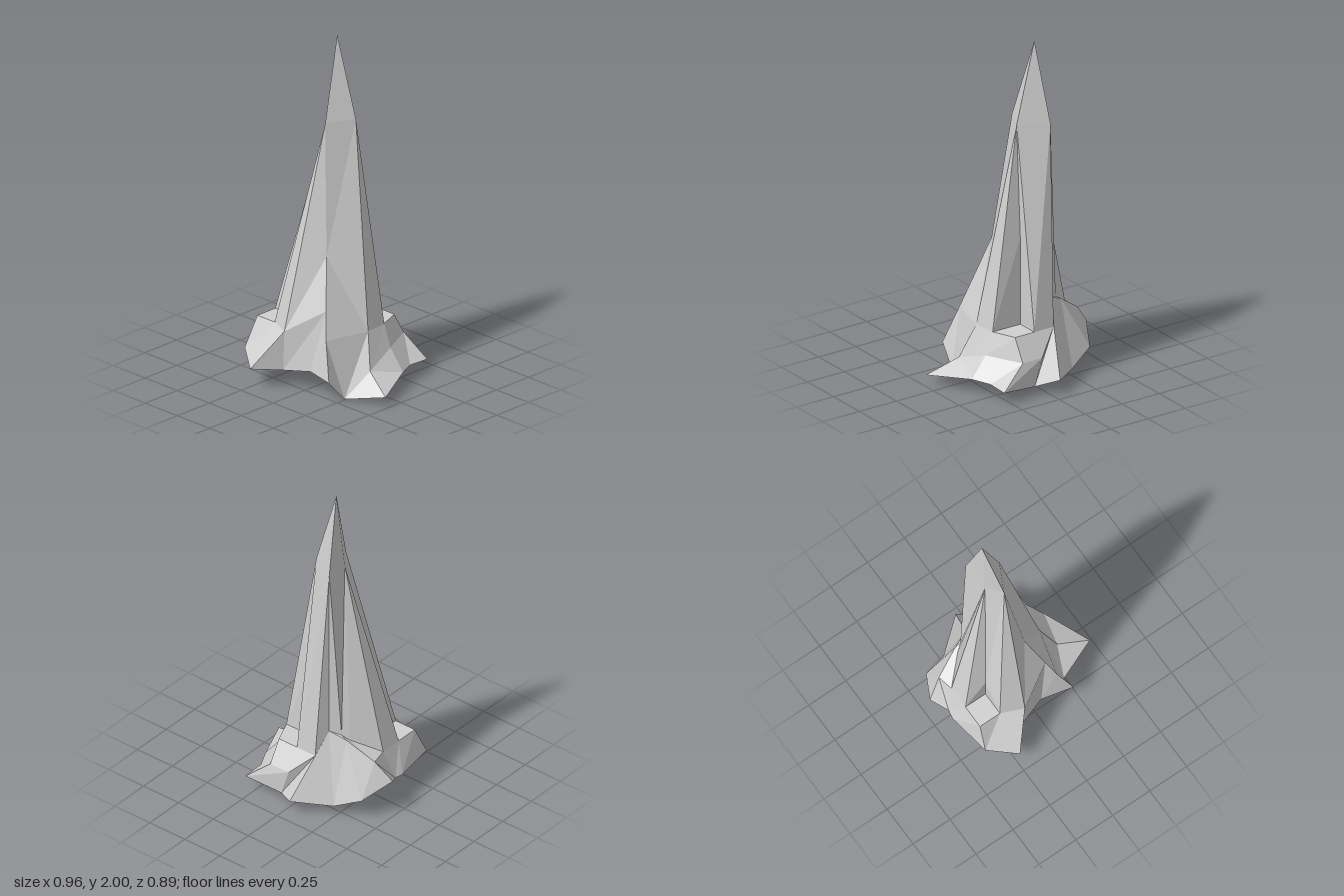
import * as THREE from 'three';

// Corner points of the rock, grouped by level
const feet = [
  [-.235, .115, .443], [-.12, .1, .3], [.045, .125, .25], [.232, .125, .295], [.245, 0, .185],
  [.48, .055, .1], [.355, .09, -.165], [.305, .085, -.27], [.305, .08, -.405], [.075, .05, -.37],
  [-.045, .085, -.445], [-.235, .055, -.292], [-.39, .13, -.24], [-.48, .215, -.075],
  [-.42, .16, .02], [-.43, .16, .07], [-.39, .165, .33],
];
const ledge = {
  a: [-.235, .34, .25], b: [-.105, .34, .305], c: [.11, .49, .195], d: [.155, .34, .24],
  e: [.225, .34, -.02], f: [.3, .14, .04], g: [.26, .21, -.16], h: [.155, .21, -.37],
  i: [.025, .21, -.37], j: [-.105, .34, -.295], k: [-.14, .48, -.215], l: [-.235, .44, -.18],
  m: [-.388, .33, -.12], n: [-.37, .34, -.025], o: [-.37, .34, .11], p: [-.37, .34, .25],
};
const flank = {
  A: [-.235, .34, .11], B: [-.235, .52, .11], C: [.03, .77, .11], D: [.212, .34, -.16],
  E: [.155, .34, -.295], F: [.025, .34, -.295], G: [.025, .34, -.16], H: [.025, .86, -.16],
  I: [-.2, .46, -.18], J: [-.235, .43, -.155],
};
const neck = {
  1: [-.055, 1.52, .035], 2: [.025, 1.53, -.125], 3: [-.14, 1.53, -.215], 4: [-.12, 1.5, -.055],
};
const tip = [-.105, 2, -.11];
const points = { ...ledge, ...flank, ...neck };

// Ridges around the rock: foot number, then points from the ledge up to the neck
const ridges = [
  [0, 'aaaa1'], [1, 'bbbb1'], [2, 'cCCC1'], [3, 'dcCC1'], [4, 'dcCC1'], [4, 'eeee2'],
  [5, 'feee2'], [6, 'feee2'], [6, 'gDDD2'], [7, 'gDDD2'], [8, 'hEGH2'], [9, 'iFFF2'],
  [10, 'jjjj3'], [11, 'kkkk3'], [12, 'lIII3'], [13, 'mJJJ4'], [14, 'mJJJ4'], [14, 'nnnn4'],
  [15, 'oooo4'], [16, 'ppAB4'],
];

function facetedMesh(name, triangles, material) {
  const geometry = new THREE.BufferGeometry();
  geometry.setAttribute('position', new THREE.Float32BufferAttribute(triangles.flat(2), 3));
  geometry.computeVertexNormals();
  const mesh = new THREE.Mesh(geometry, material);
  mesh.name = name;
  return mesh;
}

export function createModel() {
  const group = new THREE.Group();
  group.name = 'rockSpire';
  const stone = new THREE.MeshStandardMaterial({ color: 0xd0d0d0, flatShading: true });
  stone.name = 'light grey stone';

  const columns = ridges.map(([foot, keys]) => [
    feet[foot], ...[...keys].map((key) => points[key]), tip,
  ]);
  const skirt = [], spire = [], base = [];
  const add = (list, a, b, c) => {
    if (a !== b && b !== c && c !== a) list.push([a, b, c]);
  };

  // Stitch neighbouring ridges; shared corners collapse into triangles
  columns.forEach((left, i) => {
    const right = columns[(i + 1) % columns.length];
    for (let row = 0; row < left.length - 1; row++) {
      const list = row === 0 ? skirt : spire;
      add(list, left[row], right[row], right[row + 1]);
      add(list, left[row], right[row + 1], left[row + 1]);
    }
    // Underside fan
    add(base, right[0], left[0], [0, .06, -.02]);
  });

  group.add(
    facetedMesh('skirt', skirt, stone),
    facetedMesh('spire', spire, stone),
    facetedMesh('underside', base, stone),
  );
  return group;
}
